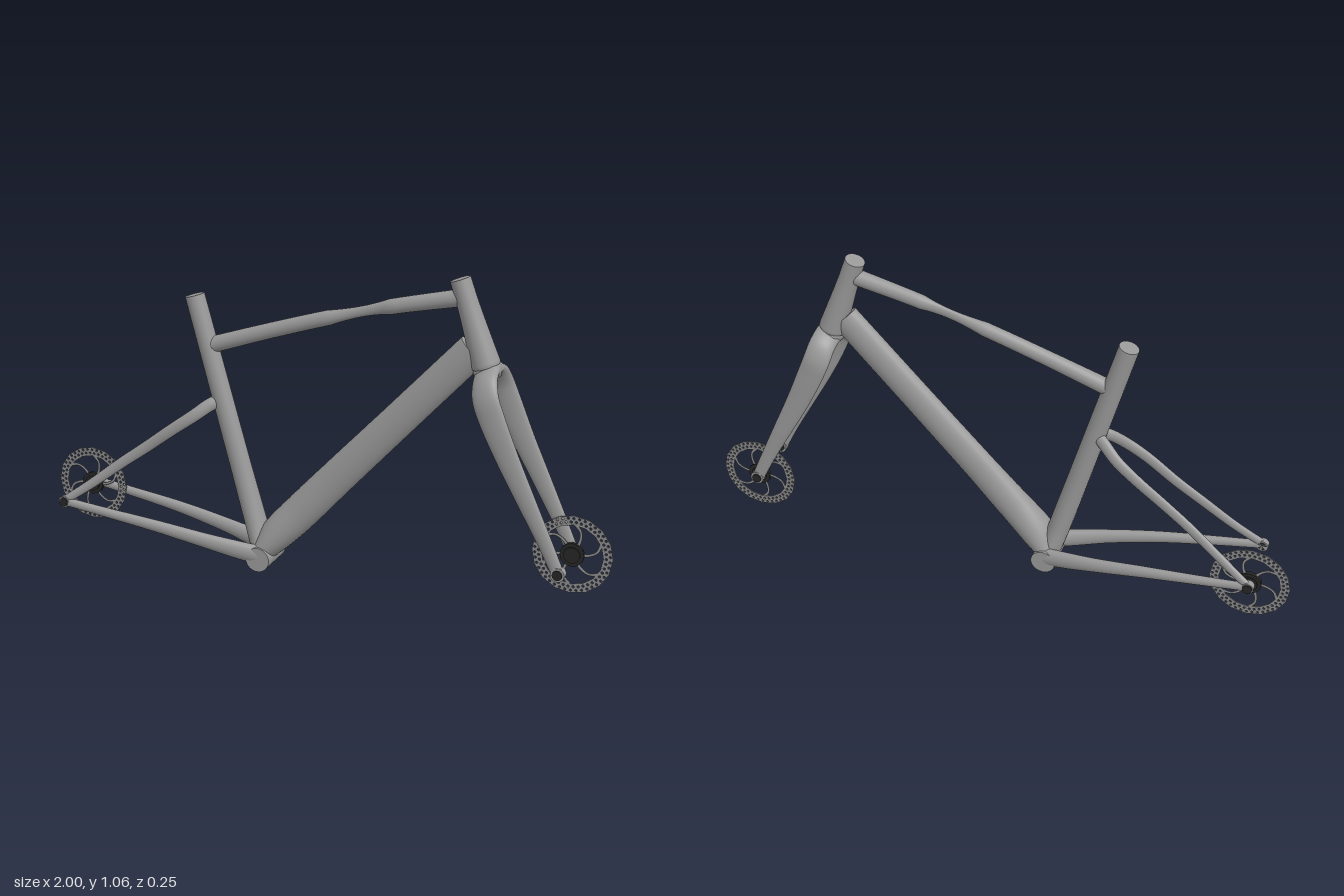
import * as THREE from 'three';

const V = (x, y, z = 0) => new THREE.Vector3(x, y, z);
const mat = (name, color) => Object.assign(new THREE.MeshStandardMaterial({ color }), { name });

export function createModel() {
  const root = new THREE.Group();
  const frameGrey = mat('frame grey', 0x999999);
  const rotorGrey = mat('rotor grey', 0x8c8c8c);
  const hubBlack = mat('hub black', 0x262626);

  const add = (name, geo, material, parent = root) => {
    const m = new THREE.Mesh(geo, material);
    m.name = name;
    parent.add(m);
    return m;
  };

  // Elliptical tube: stations are [x, y, z, half size across, half size along ref]
  function sweep(stations, ref = V(0, 0, 1), steps = 40, sides = 24) {
    const path = new THREE.CatmullRomCurve3(stations.map(s => V(s[0], s[1], s[2])));
    const size = new THREE.CatmullRomCurve3(stations.map(s => V(s[3], s[4])));
    const pos = [], idx = [];
    const ring = (t) => {
      const p = path.getPoint(t), r = size.getPoint(t), d = path.getTangent(t);
      const b = ref.clone().addScaledVector(d, -ref.dot(d)).normalize();
      const n = b.clone().cross(d);
      for (let j = 0; j < sides; j++) {
        const a = j / sides * Math.PI * 2;
        const q = p.clone().addScaledVector(n, Math.cos(a) * r.x).addScaledVector(b, Math.sin(a) * r.y);
        pos.push(q.x, q.y, q.z);
      }
    };
    for (let i = 0; i <= steps; i++) ring(i / steps);
    for (let i = 0; i < steps; i++) for (let j = 0; j < sides; j++) {
      const a = i * sides + j, b = i * sides + (j + 1) % sides;
      idx.push(a, b, a + sides, b, b + sides, a + sides);
    }
    // Flat end caps
    for (const t of [0, 1]) {
      const base = pos.length / 3;
      ring(t);
      for (let j = 1; j < sides - 1; j++) {
        if (t) idx.push(base, base + j, base + j + 1);
        else idx.push(base, base + j + 1, base + j);
      }
    }
    const g = new THREE.BufferGeometry();
    g.setAttribute('position', new THREE.Float32BufferAttribute(pos, 3));
    g.setIndex(idx);
    g.computeVertexNormals();
    return g;
  }

  // Cylinder lying along z
  const disc = (name, r, len, x, y, z, material, sides = 28, parent = root) => {
    const m = add(name, new THREE.CylinderGeometry(r, r, len, sides).rotateX(Math.PI / 2), material, parent);
    m.position.set(x, y, z);
    return m;
  };

  // Main tubes
  add('seatTube', sweep([
    [-0.17, 0.05, 0, 0.036, 0.055], [-0.2, 0.155, 0, 0.037, 0.042],
    [-0.25, 0.335, 0, 0.036, 0.034], [-0.41, 0.917, 0, 0.033, 0.032]]), frameGrey);
  add('topTube', sweep([
    [-0.36, 0.75, 0, 0.028, 0.026], [-0.14, 0.823, 0, 0.026, 0.022],
    [0.06, 0.885, 0, 0.025, 0.021], [0.27, 0.942, 0, 0.025, 0.021],
    [0.51, 0.995, 0, 0.028, 0.026]]), frameGrey);
  add('downTube', sweep([
    [-0.165, 0.062, 0, 0.043, 0.068], [-0.115, 0.125, 0, 0.058, 0.06],
    [-0.04, 0.205, 0, 0.061, 0.046], [0.08, 0.335, 0, 0.059, 0.036],
    [0.3, 0.57, 0, 0.056, 0.033], [0.545, 0.832, 0, 0.054, 0.032]]), frameGrey);
  disc('bottomBracketShell', 0.042, 0.144, -0.165, 0.043, 0, frameGrey, 36);

  // Tapered head tube with a thin gap above the fork crown
  const steer = new THREE.Group();
  steer.name = 'headTube';
  steer.position.set(0.59, 0.775, 0);
  steer.rotation.z = Math.atan2(0.095, 0.278);
  root.add(steer);
  const lathe = (pts) => new THREE.LatheGeometry(pts.map(p => new THREE.Vector2(...p)), 40);
  add('headTubeBody', lathe([[0.043, 0.007], [0.046, 0.01], [0.046, 0.02], [0.042, 0.08],
    [0.037, 0.16], [0.034, 0.22], [0.033, 0.293]]), frameGrey, steer);
  add('headTubeTop', new THREE.CircleGeometry(0.033, 40).rotateX(-Math.PI / 2).translate(0, 0.293, 0), frameGrey, steer);
  add('forkCrown', lathe([[0, -0.035], [0.036, -0.032], [0.044, -0.016], [0.047, 0], [0.044, 0.004], [0.042, 0.009]]), frameGrey, steer);

  // Fork: one arch running from dropout to dropout over the crown
  const half = [[0.862, 0.175, 0.096, 0.021, 0.012], [0.82, 0.265, 0.097, 0.024, 0.012],
    [0.755, 0.395, 0.098, 0.031, 0.013], [0.69, 0.525, 0.097, 0.038, 0.013],
    [0.64, 0.635, 0.096, 0.043, 0.014], [0.613, 0.703, 0.089, 0.044, 0.017],
    [0.602, 0.745, 0.064, 0.043, 0.021], [0.597, 0.763, 0.03, 0.043, 0.023]];
  const mirrored = half.map(([x, y, z, a, b]) => [x, y, -z, a, b]).reverse();
  // across is the thin direction here; ref is the fore-and-aft direction
  const forkStations = [...half, [0.595, 0.767, 0, 0.043, 0.023], ...mirrored]
    .map(([x, y, z, a, b]) => [x, y, z, b, a]);
  add('fork', sweep(forkStations, V(0.9, 0.43, 0), 110), frameGrey);

  const rearX = -0.868, frontX = 0.866, axleY = 0.168;
  for (const s of [1, -1]) {
    const side = s > 0 ? 'left' : 'right';
    // Rear stays
    add(side + 'ChainStay', sweep([
      [rearX, axleY, s * 0.113, 0.015, 0.011], [-0.7, 0.145, s * 0.106, 0.017, 0.014],
      [-0.525, 0.12, s * 0.096, 0.021, 0.016], [-0.35, 0.088, s * 0.08, 0.026, 0.018],
      [-0.25, 0.068, s * 0.065, 0.031, 0.02], [-0.165, 0.052, s * 0.05, 0.034, 0.022]]), frameGrey);
    add(side + 'SeatStay', sweep([
      [rearX, axleY + 0.004, s * 0.113, 0.014, 0.01], [-0.775, 0.237, s * 0.094, 0.016, 0.01],
      [-0.66, 0.325, s * 0.077, 0.018, 0.01], [-0.57, 0.39, s * 0.069, 0.019, 0.01],
      [-0.47, 0.465, s * 0.066, 0.02, 0.011], [-0.4, 0.515, s * 0.053, 0.021, 0.013],
      [-0.35, 0.553, s * 0.028, 0.022, 0.015], [-0.315, 0.57, s * 0.005, 0.022, 0.016]]), frameGrey);
    // Dropouts and dark axle ends
    disc(side + 'RearDropout', 0.02, 0.022, rearX, axleY, s * 0.112, frameGrey);
    disc(side + 'RearAxleEnd', 0.016, 0.026, rearX, axleY, s * 0.114, hubBlack);
    disc(side + 'ForkDropout', 0.023, 0.026, frontX, axleY, s * 0.095, frameGrey);
    disc(side + 'ForkAxleEnd', 0.016, 0.032, frontX, axleY, s * 0.096, hubBlack);
  }

  // Brake rotor: perforated ring, curved arms and a dark centre
  const ringShape = new THREE.Shape().absarc(0, 0, 0.132, 0, Math.PI * 2);
  ringShape.holes.push(new THREE.Path().absarc(0, 0, 0.101, 0, Math.PI * 2, true));
  for (let i = 0; i < 42; i++) for (let row = 0; row < 2; row++) {
    const a = (i + row * 0.5) / 42 * Math.PI * 2, r = 0.1105 + row * 0.0125;
    ringShape.holes.push(new THREE.Path().absarc(Math.cos(a) * r, Math.sin(a) * r, 0.0042, 0, Math.PI * 2, true));
  }
  const ringGeo = new THREE.ExtrudeGeometry(ringShape, { depth: 0.004, bevelEnabled: false, curveSegments: 8 });
  ringGeo.translate(0, 0, -0.002);
  const armGeo = sweep([[0.03, 0, 0, 0.006, 0.002], [0.055, 0.004, 0, 0.005, 0.002],
    [0.08, 0.018, 0, 0.0045, 0.002], [0.092, 0.045, 0, 0.006, 0.002]], V(0, 0, 1), 12, 8);

  function rotor(name, x, z) {
    const g = new THREE.Group();
    g.name = name;
    g.position.set(x, axleY, z);
    root.add(g);
    add(name + 'Ring', ringGeo, rotorGrey, g);
    for (let i = 0; i < 6; i++) add(name + 'Arm', armGeo, rotorGrey, g).rotation.z = i * Math.PI / 3;
    disc(name + 'Hub', 0.04, 0.012, 0, 0, 0, hubBlack, 12, g);
    disc(name + 'LockRing', 0.027, 0.022, 0, 0, 0, hubBlack, 24, g);
  }
  rotor('rearRotor', rearX, -0.088);
  rotor('frontRotor', 0.868, -0.077);
  return root;
}
